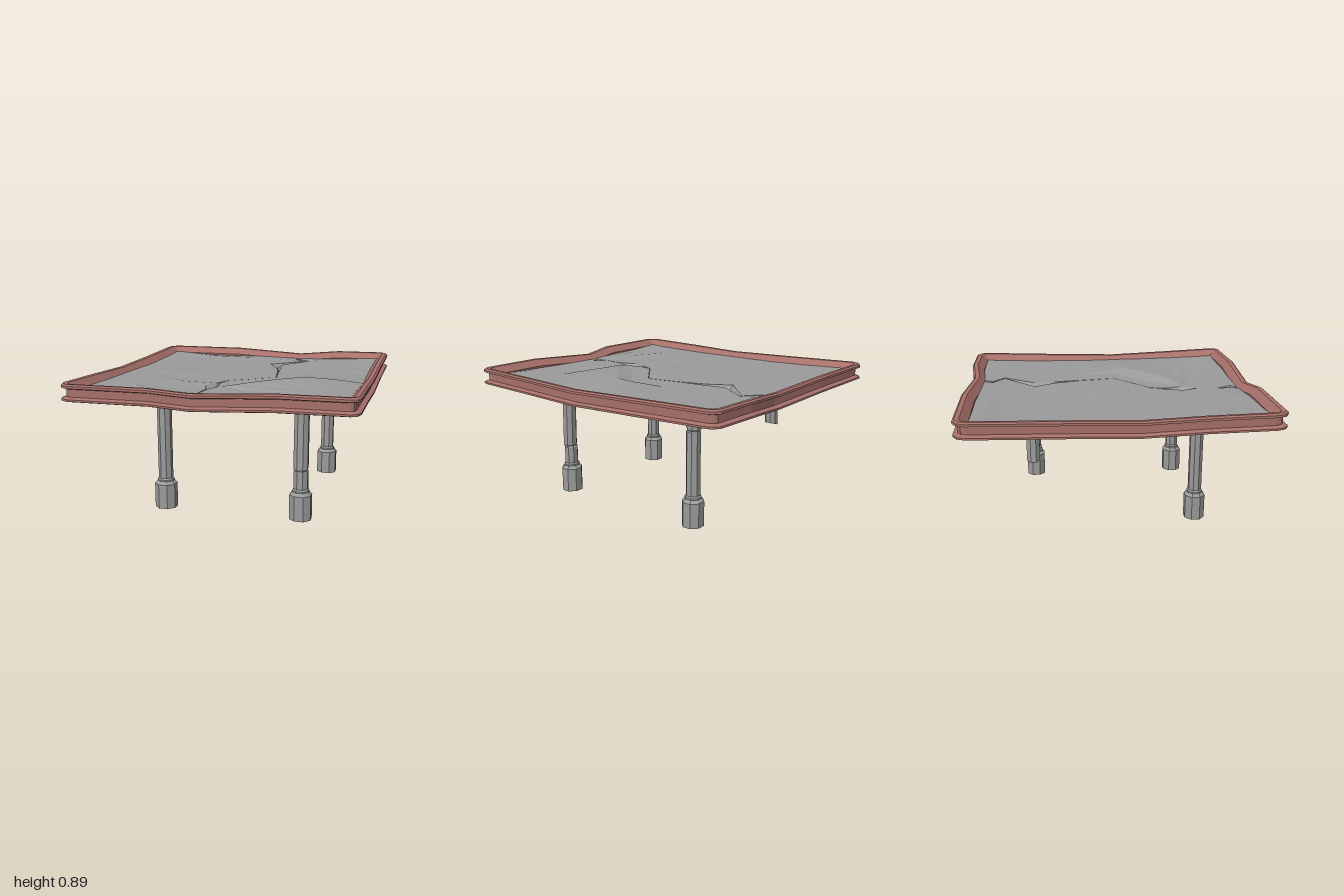
import * as THREE from 'three';

const stone = new THREE.MeshStandardMaterial({ color: 0x9c9c9c });
stone.name = 'grey concrete';
const rust = new THREE.MeshStandardMaterial({ color: 0xa8716b });
rust.name = 'dull red steel';

let seed = 7;
const noise = () => ((seed = (seed * 16807) % 2147483647) / 2147483647) * 2 - 1;

function flatMesh(geometry, material, name) {
  const g = geometry.index ? geometry.toNonIndexed() : geometry;
  g.computeVertexNormals();
  const mesh = new THREE.Mesh(g, material);
  mesh.name = name;
  return mesh;
}

// Skin a list of closed cross-sections; the list itself may close into a loop.
function loft(sections, loop) {
  const pos = [];
  const n = sections.length, m = sections[0].length;
  for (let i = 0; i < (loop ? n : n - 1); i++) {
    const s = sections[i], t = sections[(i + 1) % n];
    for (let j = 0; j < m; j++) {
      const k = (j + 1) % m;
      pos.push(...s[j], ...t[j], ...t[k], ...s[j], ...t[k], ...s[k]);
    }
  }
  const g = new THREE.BufferGeometry();
  g.setAttribute('position', new THREE.Float32BufferAttribute(pos, 3));
  return g;
}

// Channel-section rim swept round the bent outline
function makeFrame() {
  const path = [ // x, z, sag
    [-0.86, 1, 0], [-0.33, 1, 0], [-0.08, 0.965, -0.025], [0.45, 0.995, 0.005], [0.87, 0.99, 0.005],
    [0.91, 0.97, 0.005], [0.925, 0.92, 0.005], [0.92, 0.5, -0.012], [0.92, 0.1, -0.028],
    [0.92, -0.45, -0.012], [0.925, -0.92, 0.003], [0.91, -0.96, 0.003], [0.87, -0.99, 0.003],
    [0.53, -1, 0], [0.22, -0.965, -0.025], [-0.3, -1, 0], [-0.86, -1, 0],
    [-0.91, -0.97, 0], [-0.93, -0.92, 0], [-0.92, -0.3, -0.015], [-0.925, 0.1, -0.025],
    [-0.92, 0.5, -0.01], [-0.925, 0.92, 0], [-0.905, 0.97, 0],
  ];
  const profile = [ // inset, height
    [0.015, 0.78], [0, 0.785], [0, 0.797], [0.03, 0.808], [0.03, 0.856], [0, 0.865],
    [0, 0.88], [0.012, 0.89], [0.04, 0.888], [0.085, 0.845], [0.085, 0.8], [0.06, 0.78],
  ];
  const n = path.length;
  const inward = (a, b) => new THREE.Vector2(b[1] - a[1], a[0] - b[0]).normalize();
  const sections = path.map((p, i) => {
    const n1 = inward(path[(i + n - 1) % n], p), n2 = inward(p, path[(i + 1) % n]);
    const miter = n1.clone().add(n2).normalize();
    miter.divideScalar(miter.dot(n2));
    return profile.map(([o, y]) => [p[0] + miter.x * o, y + p[2], p[1] + miter.y * o]);
  });
  return flatMesh(loft(sections, true), rust, 'frame');
}

// Sagging slab with a zigzag crack and one raised broken shelf
function makeSlab() {
  const rows = [ // z, crack left, crack right, ridge foot, ridge top, lift
    [-0.92, 0.24, 0.27, 0.45, 0.6, 0], [-0.83, 0.195, 0.225, 0.45, 0.6, 0],
    [-0.75, 0.305, 0.32, 0.45, 0.6, 0], [-0.53, 0.065, 0.16, 0.4, 0.6, 0],
    [-0.38, 0.145, 0.18, 0.4, 0.6, 0], [-0.22, 0.19, 0.2, 0.38, 0.6, 0],
    [0.05, 0.238, 0.242, 0.39, 0.43, 0.012], [0.14, 0.125, 0.13, 0.31, 0.46, 0.025],
    [0.28, -0.05, -0.045, 0.14, 0.3, 0.03], [0.38, -0.09, -0.07, 0.05, 0.2, 0.03],
    [0.5, -0.13, -0.04, -0.02, 0.04, 0.015], [0.6, -0.09, -0.08, 0.05, 0.2, 0],
    [0.75, -0.1, -0.095, 0.1, 0.3, 0], [0.85, -0.09, -0.04, 0.1, 0.3, 0],
    [0.92, -0.13, -0.1, 0.1, 0.3, 0],
  ];
  const edge = 0.87;
  const sag = (x, z) => -0.03 * (1 - (x / 0.95) ** 2 * z * z);
  const sections = rows.map(([z, cl, cr, foot, top, lift]) => {
    const mix = THREE.MathUtils.lerp;
    const cols = [ // x, height offset
      [-edge, 0], [mix(-edge, cl, 0.35), 0.006 * noise()], [mix(-edge, cl, 0.7), 0.008 * noise()],
      [cl, 0], [(cl + cr) / 2, -Math.min(0.03, (cr - cl) * 0.8)], [cr, 0],
      [foot, 0.003 * noise()], [top, lift + 0.004 * noise()],
      [mix(top, edge, 0.5), lift * 0.6 + 0.005 * noise()], [edge, 0],
    ];
    const upper = cols.map(([x, h]) => [x, 0.86 + sag(x, z) + h, z]);
    const under = [edge, 0.55, 0.25, -0.1, -0.55, -edge].map((x, j) => {
      const bulge = (j === 2 || j === 4) && Math.abs(z) < 0.7 ? 0.006 : 0;
      return [x, 0.79 + sag(x, z) - bulge + 0.004 * noise(), z];
    });
    return [...upper, ...under];
  });
  return flatMesh(loft(sections, false), stone, 'slab');
}

// Eight-sided turned section of a leg, flat sides facing front
function turned(points, name) {
  const pts = points.map(([r, y]) => new THREE.Vector2(r / Math.cos(Math.PI / 8), y));
  const g = new THREE.LatheGeometry(pts, 8);
  g.rotateY(Math.PI / 8);
  g.scale(1, 1, 0.95);
  return flatMesh(g, stone, name);
}

const foot = [[0, 0], [0.07, 0], [0.07, 0.165], [0.053, 0.185], [0.053, 0.195], [0.045, 0.205]];
const capital = [[0.045, 0.715], [0.08, 0.745], [0.08, 0.8], [0, 0.8]];

// A leg may be cracked across at a given height, the upper part slipping slightly
function makeLeg(name, x, z, crack, slip = 0) {
  const leg = new THREE.Group();
  leg.name = name;
  leg.position.set(x, 0, z);
  if (!crack) {
    leg.add(turned([...foot, ...capital], 'column'));
    return leg;
  }
  leg.add(turned([...foot, [0.045, crack - 0.01], [0.038, crack], [0, crack]], 'lowerColumn'));
  const upper = turned([[0, crack - 0.005], [0.038, crack - 0.005], [0.046, crack + 0.01], ...capital], 'upperColumn');
  // Bow the slipped part sideways, back in line at the top
  const p = upper.geometry.attributes.position;
  for (let i = 0; i < p.count; i++) {
    const t = (0.745 - p.getY(i)) / (0.745 - crack);
    p.setZ(i, p.getZ(i) + slip * THREE.MathUtils.clamp(t, 0, 1));
  }
  upper.geometry.computeVertexNormals();
  leg.add(upper);
  return leg;
}

// Broken leg: only a leaning stump hangs below the slab
function makeStump() {
  const stump = turned([[0, 0.47], [0.045, 0.47], ...capital], 'brokenLeg');
  const p = stump.geometry.attributes.position;
  for (let i = 0; i < p.count; i++) {
    const x = p.getX(i), y = p.getY(i);
    if (y < 0.5) p.setY(i, y + x * 0.3);
    p.setX(i, x - Math.max(0, 0.72 - y) * 0.08);
  }
  stump.geometry.computeVertexNormals();
  stump.position.set(-0.4, 0, -0.545);
  return stump;
}

export function createModel() {
  const model = new THREE.Group();
  model.name = 'damagedPlatform';
  model.add(
    makeFrame(),
    makeSlab(),
    makeLeg('frontLeftLeg', 0.52, 0.545, 0.33, 0.008),
    makeLeg('frontRightLeg', -0.4, 0.545),
    makeLeg('backLeftLeg', 0.52, -0.545, 0.63, -0.004),
    makeStump(),
  );
  return model;
}
